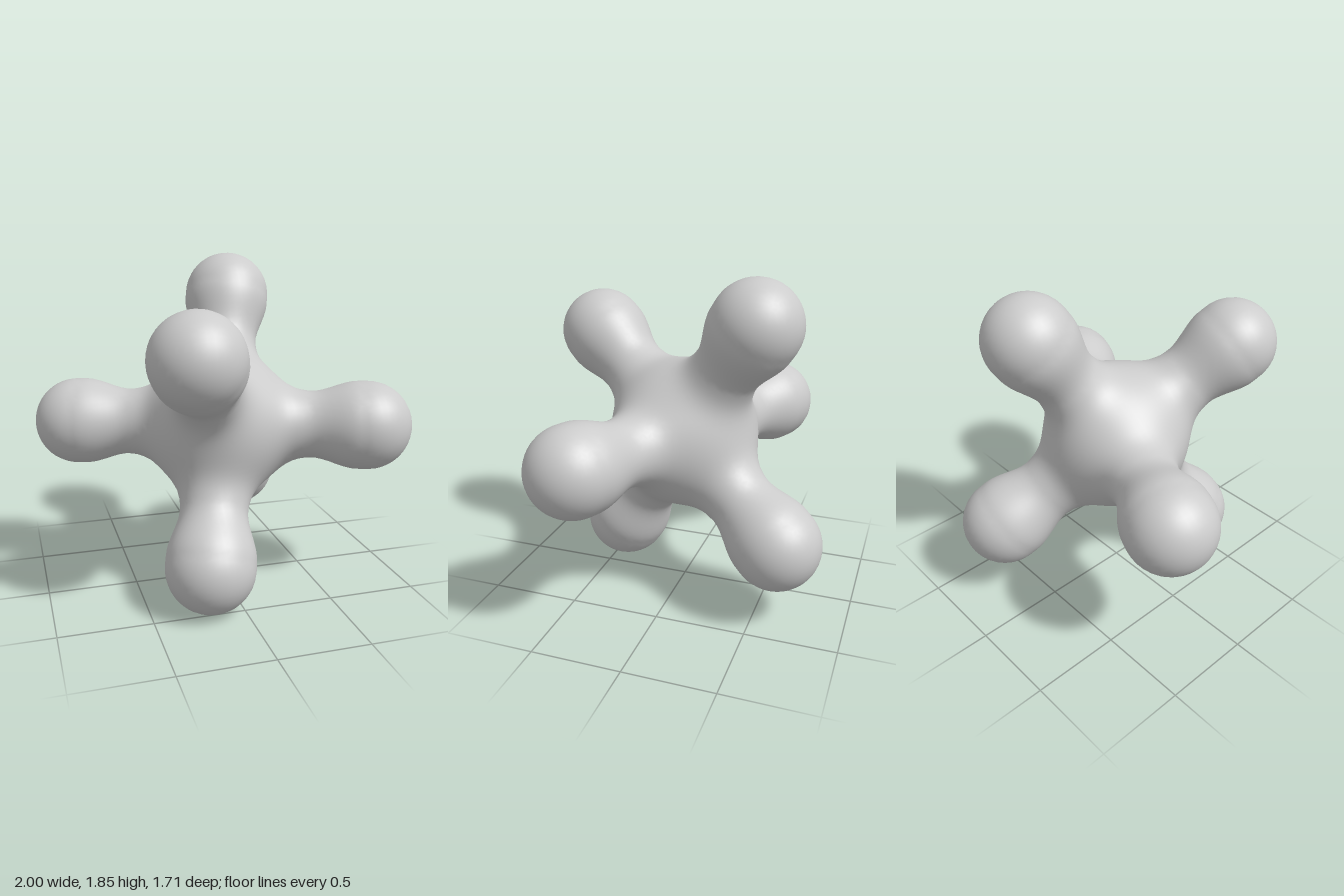
import * as THREE from 'three';

// Three near-perpendicular axes; a rounded arm runs both ways along each
const CENTER_Y = 0.925;
const ARM_LENGTH = 0.826, NECK = 0.18, BULB = 0.245, BODY = 0.4, BLEND = 0.06;
const AXES = [[-0.285, 0.475, 0.61], [0.175, 0.68, -0.44], [0.755, 0.015, 0.335]]
  .map((a) => new THREE.Vector3(...a).normalize());

// Signed field: round body and six bulb-ended arms melted together
function field(x, y, z) {
  const lenSq = x * x + y * y + z * z;
  let sum = Math.exp((BODY - Math.sqrt(lenSq)) / BLEND);
  for (const a of AXES) {
    const along = Math.abs(x * a.x + y * a.y + z * a.z);
    const t = Math.min(along, ARM_LENGTH);
    const radius = NECK + (BULB - NECK) * THREE.MathUtils.smoothstep(t, 0.5, 0.78);
    const distance = Math.sqrt(Math.max(0, lenSq - 2 * t * along + t * t));
    sum += Math.exp((radius - distance) / BLEND);
  }
  return -BLEND * Math.log(sum);
}

function gradient(p) {
  const e = 0.002;
  return new THREE.Vector3(
    field(p.x + e, p.y, p.z) - field(p.x - e, p.y, p.z),
    field(p.x, p.y + e, p.z) - field(p.x, p.y - e, p.z),
    field(p.x, p.y, p.z + e) - field(p.x, p.y, p.z - e),
  ).divideScalar(2 * e);
}

// Skin the field with a net of quads: one vertex per grid cell the surface crosses
function skinGeometry(n = 60, half = 1.08) {
  const step = (2 * half) / (n - 1);
  const strides = [1, n, n * n];
  const at = (i) => -half + i * step;
  const values = new Float32Array(n * n * n);
  for (let k = 0, id = 0; k < n; k++)
    for (let j = 0; j < n; j++)
      for (let i = 0; i < n; i++) values[id++] = field(at(i), at(j), at(k));

  const positions = [], normals = [], indices = [];
  const cellVertex = new Map();

  // Vertex of a cell, pulled from the cell middle onto the surface
  function vertex(id) {
    if (cellVertex.has(id)) return cellVertex.get(id);
    const cell = [id % n, Math.floor(id / n) % n, Math.floor(id / (n * n))];
    const p = new THREE.Vector3();
    let crossings = 0;
    for (let axis = 0; axis < 3; axis++) {
      const b = (axis + 1) % 3, c = (axis + 2) % 3;
      for (let corner = 0; corner < 4; corner++) {
        const db = corner & 1, dc = corner >> 1;
        const start = id + db * strides[b] + dc * strides[c];
        const v0 = values[start], v1 = values[start + strides[axis]];
        if (v0 < 0 === v1 < 0) continue;
        const q = [...cell];
        q[axis] += v0 / (v0 - v1);
        q[b] += db;
        q[c] += dc;
        p.add(new THREE.Vector3(at(q[0]), at(q[1]), at(q[2])));
        crossings++;
      }
    }
    p.divideScalar(crossings);
    for (let pass = 0; pass < 3; pass++) {
      const g = gradient(p);
      p.addScaledVector(g, -field(p.x, p.y, p.z) / Math.max(g.lengthSq(), 0.1));
    }
    const normal = gradient(p).normalize();
    const index = positions.length / 3;
    positions.push(p.x, p.y, p.z);
    normals.push(normal.x, normal.y, normal.z);
    cellVertex.set(id, index);
    return index;
  }

  // A quad around every grid edge that passes through the surface
  for (let k = 1; k < n - 1; k++)
    for (let j = 1; j < n - 1; j++)
      for (let i = 1; i < n - 1; i++) {
        const id = i + j * n + k * n * n;
        for (let axis = 0; axis < 3; axis++) {
          const inside = values[id] < 0;
          if (inside === values[id + strides[axis]] < 0) continue;
          const b = strides[(axis + 1) % 3], c = strides[(axis + 2) % 3];
          const quad = [id, id - b, id - b - c, id - c].map(vertex);
          if (!inside) quad.reverse();
          indices.push(quad[0], quad[1], quad[2], quad[0], quad[2], quad[3]);
        }
      }

  const geometry = new THREE.BufferGeometry();
  geometry.setAttribute('position', new THREE.Float32BufferAttribute(positions, 3));
  geometry.setAttribute('normal', new THREE.Float32BufferAttribute(normals, 3));
  geometry.setIndex(indices);
  return geometry;
}

export function createModel() {
  const group = new THREE.Group();
  group.name = 'sixArmedJack';

  // Body and arms form one continuous skin
  const body = new THREE.Mesh(skinGeometry(), new THREE.MeshStandardMaterial({ color: 0xcccccc }));
  body.name = 'bodyWithArms';
  body.position.y = CENTER_Y;
  group.add(body);
  return group;
}
